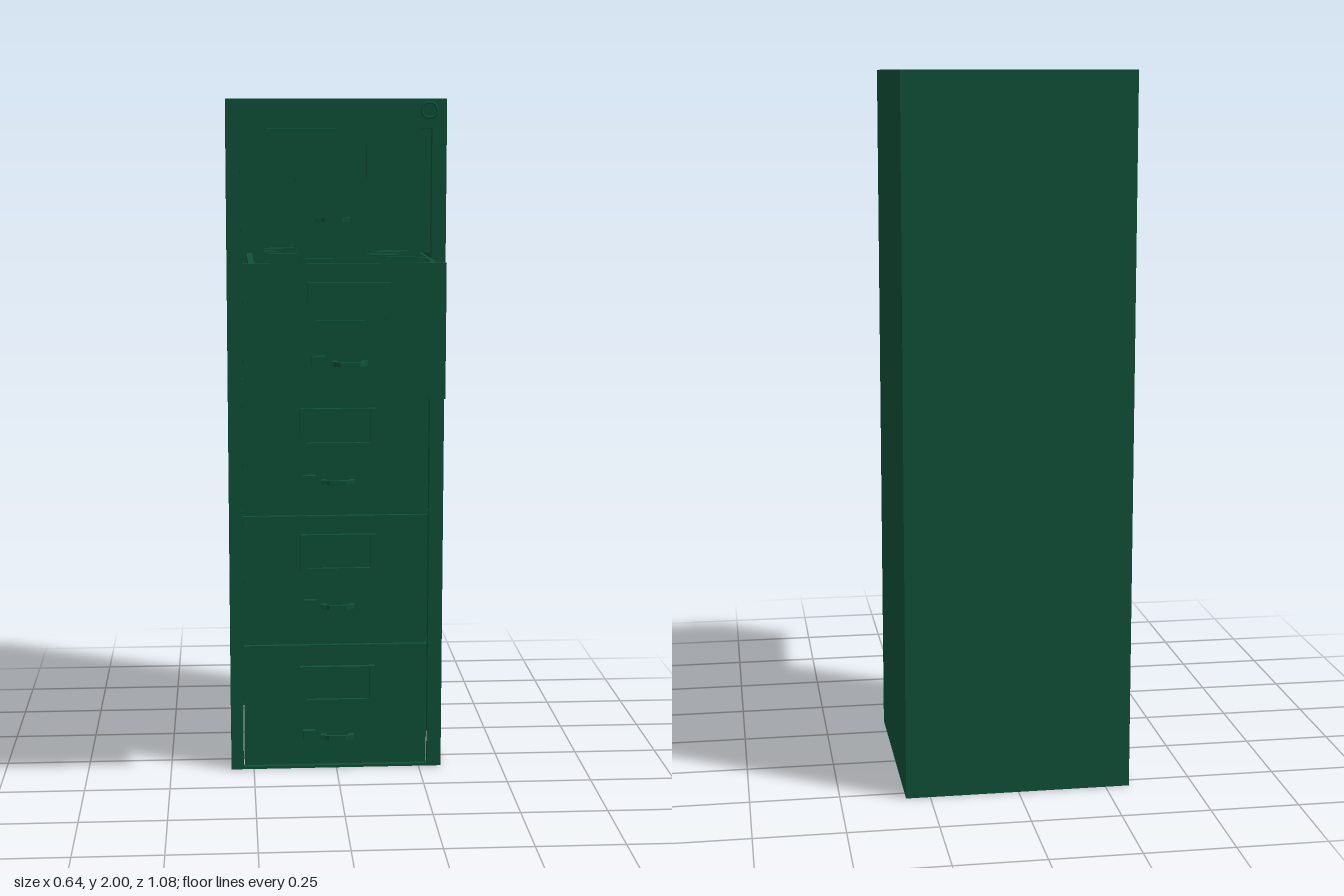
import * as THREE from 'three';

const green = new THREE.MeshStandardMaterial({ color: 0x0f5238, side: THREE.DoubleSide });

function add(parent, name, geometry, x = 0, y = 0, z = 0) {
  const mesh = new THREE.Mesh(geometry, green);
  mesh.name = name;
  mesh.position.set(x, y, z);
  parent.add(mesh);
  return mesh;
}

// Box given by its limits on each axis
function box(parent, name, x0, x1, y0, y1, z0, z1) {
  return add(parent, name, new THREE.BoxGeometry(x1 - x0, y1 - y0, z1 - z0),
    (x0 + x1) / 2, (y0 + y1) / 2, (z0 + z1) / 2);
}

function rect(Type, x0, x1, y0, y1) {
  return new Type([[x0, y0], [x1, y0], [x1, y1], [x0, y1]].map(p => new THREE.Vector2(...p)));
}

// Flat frame with a rectangular opening, extruded towards +z
function frame(outer, inner, depth) {
  const shape = rect(THREE.Shape, ...outer);
  shape.holes.push(rect(THREE.Path, ...inner));
  return new THREE.ExtrudeGeometry(shape, { depth, bevelEnabled: false });
}

// Drawer front: panel, label holder, latch and bowed pull
function drawerFront(name, y0, y1, handleY, shift, reach) {
  const g = new THREE.Group();
  g.name = name;
  box(g, 'frontPanel', -0.278, 0.273, y0, y1, -0.012, 0);
  const labelY = handleY + 0.163;
  add(g, 'labelHolder', frame([-0.112, 0.113, -0.056, 0.056], [-0.092, 0.097, -0.046, 0.048], 0.014), shift, labelY, 0);
  box(g, 'labelCard', shift - 0.092, shift + 0.097, labelY - 0.046, labelY + 0.048, 0, 0.005);
  box(g, 'latch', shift - 0.103, shift - 0.066, handleY - 0.008, handleY + 0.02, 0, 0.017);

  // Pull seen from above: two feet, sloping legs and a straight grip
  const pull = new THREE.Shape();
  [[-0.05, 0.012], [-0.05, 0.02], [-0.042, 0.022], [-0.034, reach - 0.004], [-0.026, reach],
    [0.026, reach], [0.034, reach - 0.004], [0.042, 0.022], [0.05, 0.02], [0.05, 0.012],
    [0.034, 0.012], [0.028, reach - 0.009], [-0.028, reach - 0.009], [-0.034, 0.012]]
    .forEach(([x, z], i) => (i ? pull.lineTo(x, z) : pull.moveTo(x, z)));
  const grip = add(g, 'pull', new THREE.ExtrudeGeometry(pull, { depth: 0.013, bevelEnabled: false }),
    shift, handleY + 0.006, 0);
  grip.rotation.x = Math.PI / 2;
  for (const s of [-1, 1]) {
    box(g, 'pullFoot', shift + s * 0.042 - 0.008, shift + s * 0.042 + 0.008, handleY - 0.007, handleY + 0.006, 0, 0.013);
  }
  return g;
}

// Folder sheet with sloped shoulders and a raised tab
function folder(z, tabX, top) {
  const s = new THREE.Shape();
  const pts = [[-0.238, 1.21], [0.238, 1.21], [0.238, top - 0.008], [0.23, top], [tabX + 0.06, top],
    [tabX + 0.045, top + 0.014], [tabX - 0.045, top + 0.014], [tabX - 0.06, top], [-0.23, top], [-0.238, top - 0.008]];
  s.setFromPoints(pts.map(p => new THREE.Vector2(...p)));
  const geometry = new THREE.ExtrudeGeometry(s, { depth: 0.005, bevelEnabled: false });
  geometry.translate(0, 0, z);
  return geometry;
}

// Pressed drawer side: a ribbed section drawn in x-y and run along z
function drawerSide() {
  const section = [[0.243, 1.195], [0.247, 1.195], [0.247, 1.27], [0.255, 1.28], [0.255, 1.34], [0.247, 1.35],
    [0.247, 1.415], [0.254, 1.425], [0.254, 1.495], [0.247, 1.505], [0.247, 1.54], [0.26, 1.54], [0.26, 1.553], [0.243, 1.553]];
  const s = new THREE.Shape(section.map(p => new THREE.Vector2(...p)));
  return new THREE.ExtrudeGeometry(s, { depth: 0.59, bevelEnabled: false });
}

export function createModel() {
  const model = new THREE.Group();
  model.name = 'filingCabinet';

  // Hollow case, open underneath
  const cabinet = new THREE.Group();
  cabinet.name = 'cabinet';
  model.add(cabinet);
  box(cabinet, 'leftWall', 0.31, 0.318, 0, 2, -0.54, 0.096);
  box(cabinet, 'rightWall', -0.318, -0.31, 0, 2, -0.54, 0.096);
  box(cabinet, 'backWall', -0.31, 0.31, 0, 2, -0.54, -0.532);
  box(cabinet, 'topPanel', -0.31, 0.31, 1.992, 2, -0.532, 0.096);
  add(cabinet, 'frontFrame', frame([-0.31, 0.31, 0, 1.992], [-0.281, 0.276, 0.008, 1.917], 0.02), 0, 0, 0.076);

  // Rails behind the gaps between drawers
  for (const y of [0.387, 0.785, 1.184, 1.567]) {
    box(cabinet, 'crossRail', -0.31, 0.31, y - 0.008, y + 0.008, 0.058, 0.07);
  }

  // Lock in the upper corner
  const lock = new THREE.Group();
  lock.name = 'lock';
  lock.position.set(0.268, 1.968, 0.096);
  cabinet.add(lock);
  add(lock, 'lockRim', new THREE.TorusGeometry(0.022, 0.004, 8, 28));
  add(lock, 'lockFace', new THREE.CylinderGeometry(0.018, 0.018, 0.008, 28), 0, 0, 0.002).rotation.x = Math.PI / 2;
  box(lock, 'keySlot', -0.002, 0.002, -0.009, 0.009, 0.004, 0.009);

  // Closed drawers: bottom, top, handle height, sideways shift
  [[1.573, 1.915, 1.657, -0.01], [0.79, 1.178, 0.885, 0.004],
    [0.392, 0.78, 0.506, 0.004], [0.01, 0.383, 0.1, 0.002]].forEach(([y0, y1, h, shift]) => {
    const front = drawerFront('closedDrawer', y0, y1, h, shift, 0.028);
    front.position.z = 0.088;
    model.add(front);
  });

  // Open drawer with tray and slides
  const open = new THREE.Group();
  open.name = 'openDrawer';
  model.add(open);
  const front = drawerFront('openDrawerFront', 1.19, 1.56, 1.291, 0.01, 0.04);
  front.position.z = 0.497;
  open.add(front);
  box(open, 'trayFloor', -0.245, 0.245, 1.19, 1.197, -0.105, 0.487);
  box(open, 'trayBack', -0.243, 0.243, 1.197, 1.5, -0.105, -0.098);
  const side = drawerSide();
  for (const s of [-1, 1]) {
    const half = new THREE.Group();
    half.name = s > 0 ? 'leftTraySide' : 'rightTraySide';
    half.scale.x = s;
    open.add(half);
    add(half, 'ribbedSide', side, 0, 0, -0.105);
    box(half, 'slide', 0.255, 0.262, 1.292, 1.33, -0.1, 0.475);
    box(half, 'slideStop', 0.262, 0.265, 1.304, 1.328, 0.34, 0.4);
  }

  // Hanging folders with staggered tabs
  const folders = new THREE.Group();
  folders.name = 'folders';
  open.add(folders);
  for (let i = 0; i < 27; i++) {
    const z = -0.085 + i * 0.0208 + 0.004 * Math.sin(i * 2.3);
    const tall = i % 3 === 0;
    add(folders, 'folder', folder(z, [-0.17, -0.12, -0.1][(i * 2) % 3], tall ? 1.568 : 1.535 + 0.006 * Math.sin(i * 1.7)));
  }
  return model;
}
